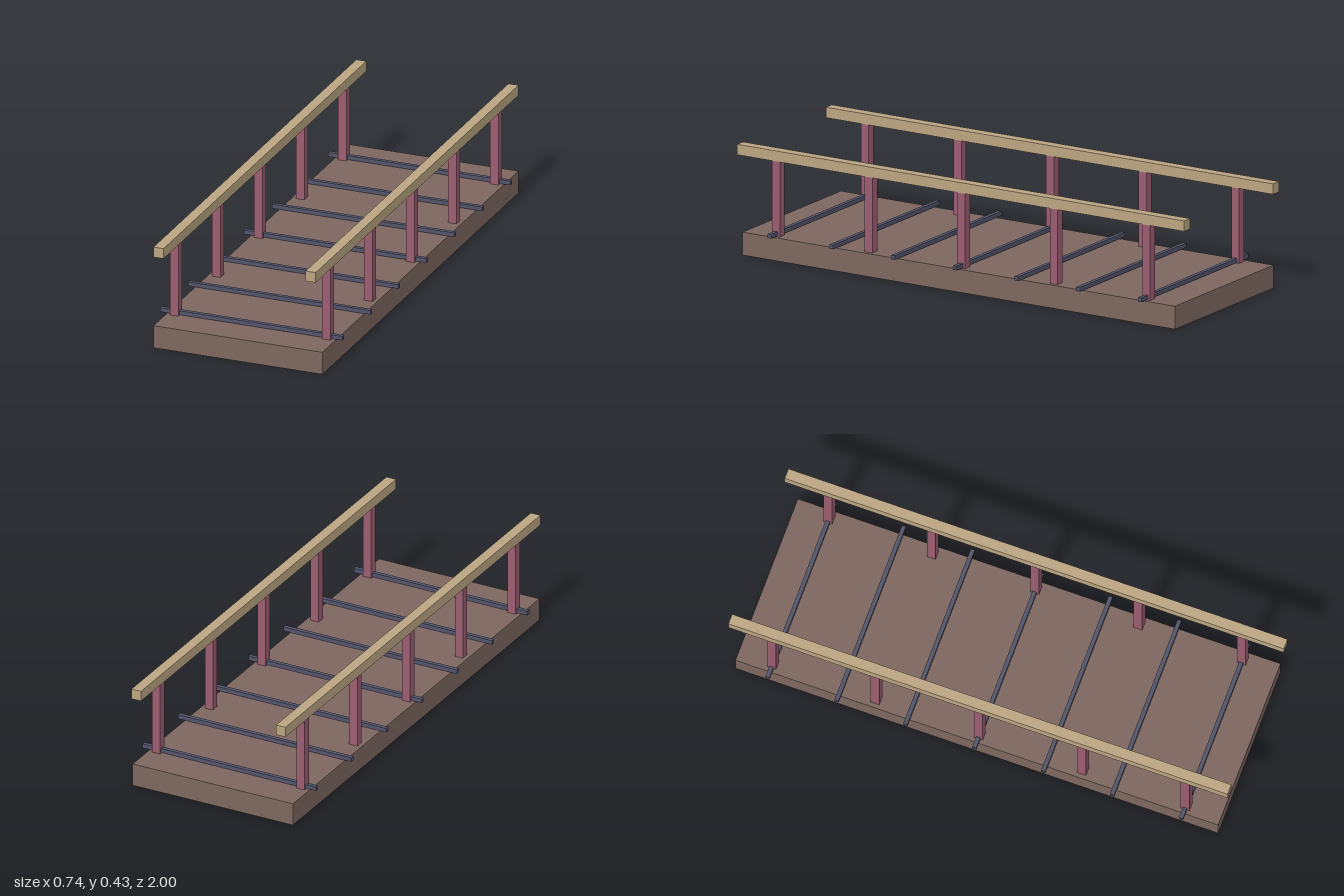
import * as THREE from 'three';

export function createModel() {
  const model = new THREE.Group();
  model.name = 'footbridge';

  const material = (name, color) => {
    const m = new THREE.MeshStandardMaterial({ color });
    m.name = name;
    return m;
  };
  const deckBrown = material('deck brown', 0x7c675f);
  const postRed = material('post red', 0x9b5d70);
  const railTan = material('rail tan', 0xbaa581);
  const barSlate = material('bar slate', 0x53546a);

  // Box placed by its base height
  const box = (name, mat, [w, h, d], x, base, z) => {
    const mesh = new THREE.Mesh(new THREE.BoxGeometry(w, h, d), mat);
    mesh.position.set(x, base + h / 2, z);
    mesh.name = name;
    model.add(mesh);
  };

  // Solid deck
  box('deck', deckBrown, [0.688, 0.09, 1.934], 0, 0, 0);

  // Handrails on five posts per side
  for (const [side, x] of [['left', 0.31], ['right', -0.31]]) {
    box(side + 'Handrail', railTan, [0.041, 0.041, 2], x, 0.384, 0);
    for (let i = -2; i <= 2; i++) {
      box(side + 'Post', postRed, [0.0345, 0.294, 0.0345], x, 0.09, i * 0.414);
    }
  }

  // Seven crossbars just above the deck
  for (let i = -3; i <= 3; i++) {
    box('crossbar', barSlate, [0.744, 0.0165, 0.0165], 0, 0.0925, i * 0.276);
  }

  return model;
}
